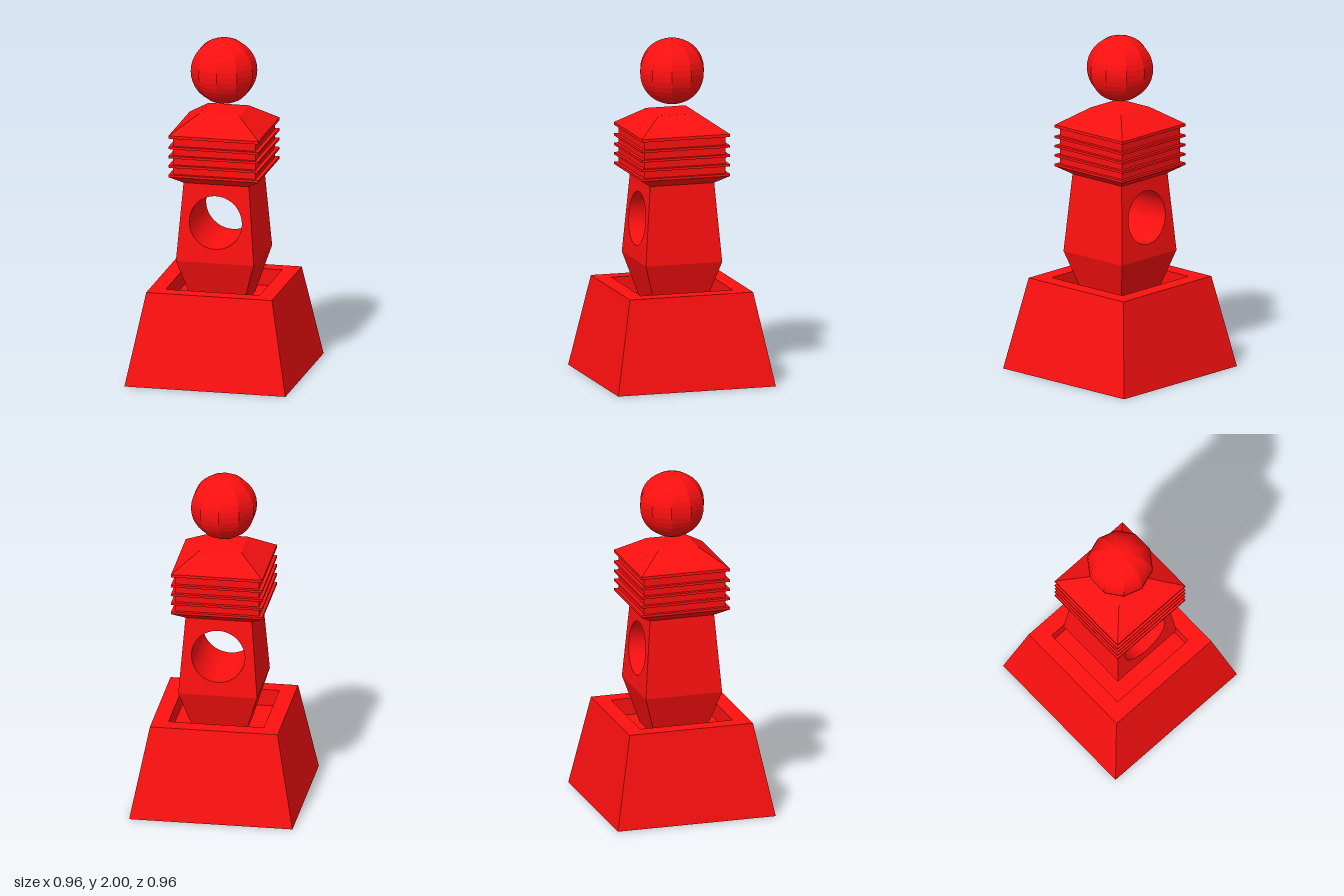
import * as THREE from 'three';

const material = new THREE.MeshStandardMaterial({ color: 0xff1010, flatShading: true });

function addPart(group, name, geometry) {
  const flat = geometry.index ? geometry.toNonIndexed() : geometry;
  flat.computeVertexNormals();
  const mesh = new THREE.Mesh(flat, material);
  mesh.name = name;
  group.add(mesh);
}

// Square solid from a profile of [half width, height], listed bottom to top
function squareSolid(profile) {
  const points = profile.map(([h, y]) => new THREE.Vector2(h * Math.SQRT2, y));
  return new THREE.LatheGeometry(points, 4, Math.PI / 4);
}

export function createModel() {
  const group = new THREE.Group();

  // Tapered base with a square recess in its top
  const floorY = 0.445;
  addPart(group, 'base', squareSolid([
    [0, 0], [0.48, 0], [0.375, 0.545], [0.28, 0.545], [0.28, floorY], [0, floorY],
  ]));

  // Flared foot standing in the recess
  const waistY = 0.705, neckY = 1.17, waist = 0.232, neck = 0.195;
  addPart(group, 'foot', squareSolid([[0, floorY], [0.151, floorY], [waist, waistY]]));

  // Tapered body with a round hole from front to back
  const shape = new THREE.Shape([
    new THREE.Vector2(-waist, waistY), new THREE.Vector2(waist, waistY),
    new THREE.Vector2(neck, neckY), new THREE.Vector2(-neck, neckY),
  ]);
  shape.holes.push(new THREE.Path().absarc(0, 0.945, 0.157, 0, Math.PI * 2, true));
  const body = new THREE.ExtrudeGeometry(shape, { depth: 1, bevelEnabled: false, curveSegments: 32 });
  const pos = body.attributes.position;
  for (let i = 0; i < pos.count; i++) {
    const half = THREE.MathUtils.mapLinear(pos.getY(i), waistY, neckY, waist, neck);
    pos.setZ(i, pos.getZ(i) > 0.5 ? half : -half);
  }
  addPart(group, 'body', body);

  // Finned collar with a sloping roof
  const fin = 0.268, core = 0.247;
  const collar = [[0, neckY], [neck, neckY], [fin, 1.218], [fin, 1.232], [core, 1.232]];
  for (const y of [1.282, 1.338, 1.394]) {
    collar.push([core, y - 0.007], [fin, y - 0.007], [fin, y + 0.007], [core, y + 0.007]);
  }
  collar.push([core, 1.45], [fin, 1.45], [fin, 1.467], [0.12, 1.57], [0, 1.57]);
  addPart(group, 'collar', squareSolid(collar));

  // Ten-sided ball floating above the roof
  const ball = new THREE.SphereGeometry(0.194, 10, 18);
  ball.rotateY(Math.PI / 2);
  ball.translate(0, 1.806, 0);
  addPart(group, 'ball', ball);

  return group;
}
